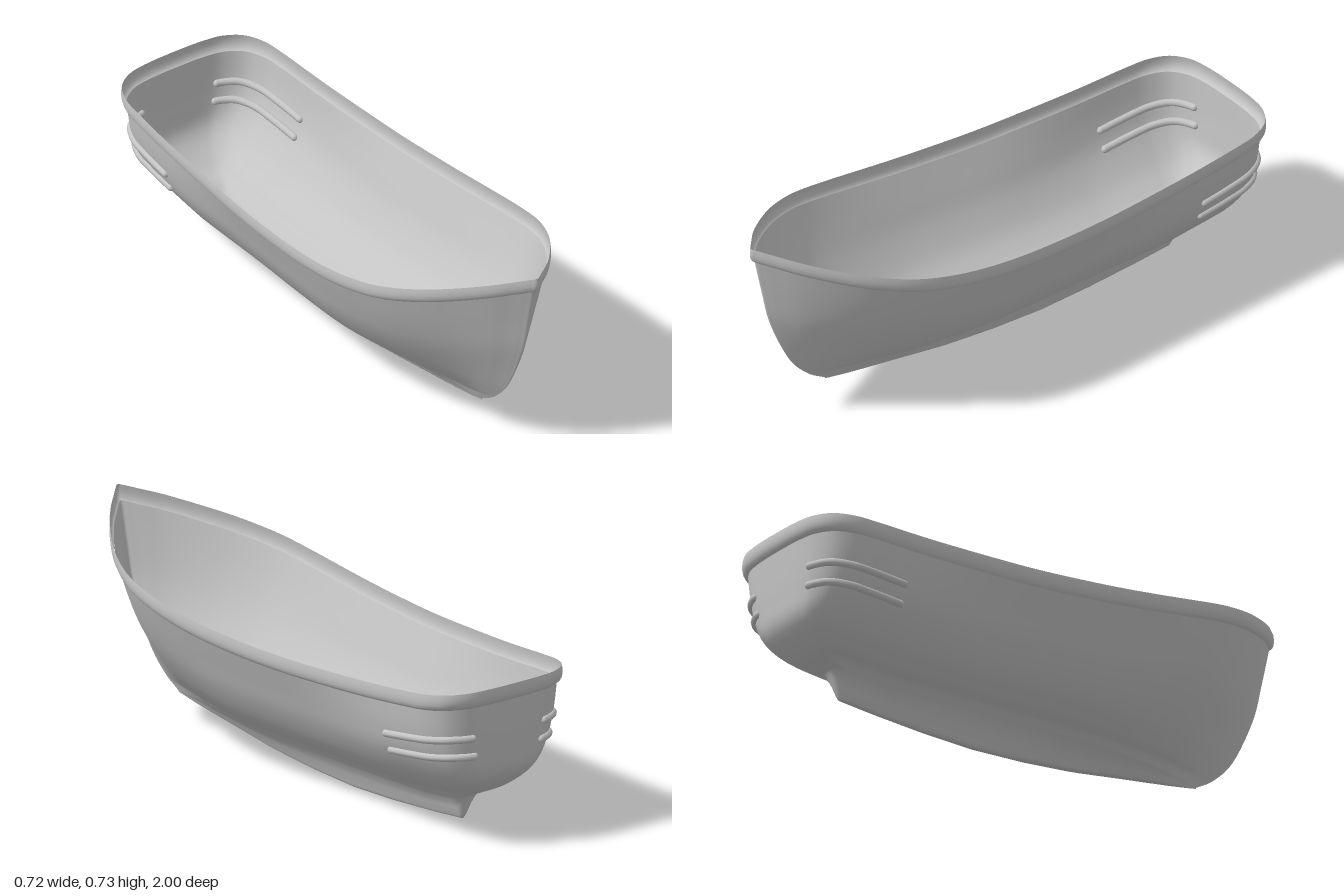
import * as THREE from 'three';

// Piecewise-linear lookup in rows of [key, ...values], keys descending
function lookup(table, k, column = 1) {
  if (k >= table[0][0]) return table[0][column];
  for (let i = 1; i < table.length; i++) {
    const a = table[i - 1], b = table[i];
    if (k >= b[0]) return a[column] + (b[column] - a[column]) * (a[0] - k) / (a[0] - b[0] || 1);
  }
  return table[table.length - 1][column];
}

// Smooth lookup built by sampling a spline through the table
function smoothTable(points) {
  return new THREE.SplineCurve(points.map(p => new THREE.Vector2(p[0], p[1])))
    .getPoints(120).map(p => [p.x, p.y]);
}

// Half outline of the gunwale from bow to stern: x, z
const OUTLINE = [
  [0, 1], [0.02, 0.986], [0.055, 0.955], [0.115, 0.9], [0.2, 0.8], [0.268, 0.7], [0.325, 0.57],
  [0.35, 0.43], [0.358, 0.25], [0.35, 0], [0.338, -0.2], [0.325, -0.4], [0.311, -0.6],
  [0.304, -0.7], [0.296, -0.8], [0.284, -0.88], [0.25, -0.945], [0.19, -0.983],
  [0.12, -0.996], [0, -1],
];
// Gunwale top height by z
const SHEER = smoothTable([[1, 0.735], [0.8, 0.668], [0.6, 0.613], [0.4, 0.572], [0.2, 0.545],
  [0, 0.53], [-0.2, 0.523], [-0.4, 0.525], [-0.6, 0.531], [-0.8, 0.543], [-1, 0.557]]);
// Keel position for each gunwale z, keel depth, and bottom of the body above the fin
const KEEL_Z = [[1, 0.69], [0.95, 0.67], [0.8, 0.6], [0.57, 0.48], [0.25, 0.22], [0, 0],
  [-0.4, -0.4], [-0.7, -0.72], [-0.75, -0.745], [-0.83, -0.785], [-1, -0.79]];
const KEEL_Y = [[0.7, 0.104], [0.6, 0.088], [0.4, 0.06], [0.2, 0.03], [0, 0.011], [-0.2, 0.001],
  [-0.4, 0.006], [-0.6, 0.018], [-0.74, 0.03], [-0.76, 0.07], [-0.78, 0.115], [-0.79, 0.125]];
const BODY_Y = [[0.7, 0.106], [0.5, 0.115], [0.2, 0.112], [-0.6, 0.107], [-0.79, 0.125]];
// How far the columns sweep from gunwale to keel, by section height
const BOW_SWEEP = smoothTable([[1, 0], [0.77, 0.1], [0.524, 0.22], [0.23, 0.49], [0.077, 0.76], [0, 1]]);
const STERN_SWEEP = smoothTable([[1, 0], [0.56, 0.04], [0.305, 0.12], [0.108, 0.53], [0, 1]]);
// Section height (1 gunwale, 0 body bottom, -1 keel), then width at bow, middle and stern
const SECTION = [
  [1, 1, 1, 1], [0.75, 0.86, 0.885, 0.95], [0.5, 0.66, 0.765, 0.85], [0.25, 0.4, 0.58, 0.63],
  [0.1, 0.22, 0.38, 0.4], [0, 0.1, 0.22, 0.2], [-0.35, 0.065, 0.125, 0.11],
  [-0.7, 0.045, 0.07, 0.065], [-0.95, 0.025, 0.035, 0.03], [-1, 0, 0, 0],
];
const [BOW, MIDDLE, STERN] = [1, 2, 3].map(c => smoothTable(SECTION.map(r => [r[0], r[c]])));

const BAND = 0.052;                     // height of the rim band
const INSET_X = 0.963, INSET_Z = 0.982; // hull outline relative to the band

// Stations all around the gunwale
function makeStations() {
  const mirrored = OUTLINE.slice(1, -1).reverse().map(([x, z]) => [-x, z]);
  const loop = [...OUTLINE, ...mirrored];
  const curve = new THREE.CatmullRomCurve3(
    loop.map(([x, z]) => new THREE.Vector3(x, 0, z)), true, 'centripetal');
  return curve.getPoints(loop.length * 6).slice(0, -1)
    .map(p => ({ x: p.x, z: p.z, top: lookup(SHEER, p.z) }));
}

// Width fraction at section height v, blended along the boat
function width(z, v) {
  const k = z > 0 ? THREE.MathUtils.smoothstep(z, 0.1, 0.9) : THREE.MathUtils.smoothstep(-z, 0.2, 0.75);
  return THREE.MathUtils.lerp(lookup(MIDDLE, v), lookup(z > 0 ? BOW : STERN, v), k);
}

// Point on the hull skin at a station and section height v
function hullPoint(s, v) {
  const z = s.z * INSET_Z, kz = lookup(KEEL_Z, s.z);
  const ky = lookup(KEEL_Y, kz), by = lookup(BODY_Y, kz);
  const y = v >= 0 ? by + (s.top - BAND - by) * v : by + (by - ky) * v;
  const sweep = lookup(s.z > 0 ? BOW_SWEEP : STERN_SWEEP, v);
  return new THREE.Vector3(s.x * INSET_X * width(s.z, v), y, z + (kz - z) * sweep);
}

// Skin over a closed ring of columns of points
function skin(cols) {
  const rows = cols[0].length, index = [];
  for (let i = 0; i < cols.length; i++) {
    const a = i * rows, b = ((i + 1) % cols.length) * rows;
    for (let j = 0; j < rows - 1; j++) {
      index.push(a + j, a + j + 1, b + j, b + j, a + j + 1, b + j + 1);
    }
  }
  const g = new THREE.BufferGeometry().setFromPoints(cols.flat());
  g.setIndex(index);
  g.computeVertexNormals();
  return g;
}

export function createModel() {
  const grey = new THREE.MeshStandardMaterial({ color: 0xc4c4c4, side: THREE.DoubleSide });
  grey.name = 'pale grey';
  const boat = new THREE.Group();
  boat.name = 'boat';
  const add = (name, geometry) => {
    const mesh = new THREE.Mesh(geometry, grey);
    mesh.name = name;
    boat.add(mesh);
    return mesh;
  };
  const stations = makeStations();

  // Open hull with stem, keel fin and rounded stern
  const heights = MIDDLE.filter((_, i) => i % 3 === 0).map(p => p[0]);
  add('hull', skin(stations.map(s => heights.map(v => hullPoint(s, v)))));

  // Rim band: top edge, outer face, soft lower lip turned in to the hull
  const rim = [[0.15, 0], [0.03, 0.012], [0, 0.026], [0.12, 0.039], [0.4, 0.049], [0.7, 0.054], [1, 0.058]];
  add('rimBand', skin(stations.map(s => rim.map(([inset, down]) => new THREE.Vector3(
    s.x * (1 - inset * (1 - INSET_X)), s.top - down, s.z * (1 - inset * (1 - INSET_Z)))))));

  // Two rubbing strips on each stern quarter
  const quarter = stations.filter(s => s.z < -0.68 && s.x > 0.16);
  const strips = [['UpperStrip', 0.362, 0.392], ['LowerStrip', 0.3, 0.328]];
  for (const [name, y0, y1] of strips) {
    const path = quarter.map(s => {
      const y = y0 + (y1 - y0) * Math.min(1, (-0.68 - s.z) / 0.28);
      const by = lookup(BODY_Y, lookup(KEEL_Z, s.z));
      return hullPoint(s, (y - by) / (s.top - BAND - by));
    });
    for (const side of [1, -1]) {
      const pts = path.map(p => new THREE.Vector3(p.x * side, p.y, p.z));
      const label = (side > 0 ? 'left' : 'right') + name;
      add(label, new THREE.TubeGeometry(new THREE.CatmullRomCurve3(pts), 28, 0.013, 10));
      for (const end of [pts[0], pts[pts.length - 1]]) {
        add(label + 'End', new THREE.SphereGeometry(0.013, 10, 8)).position.copy(end);
      }
    }
  }
  return boat;
}
